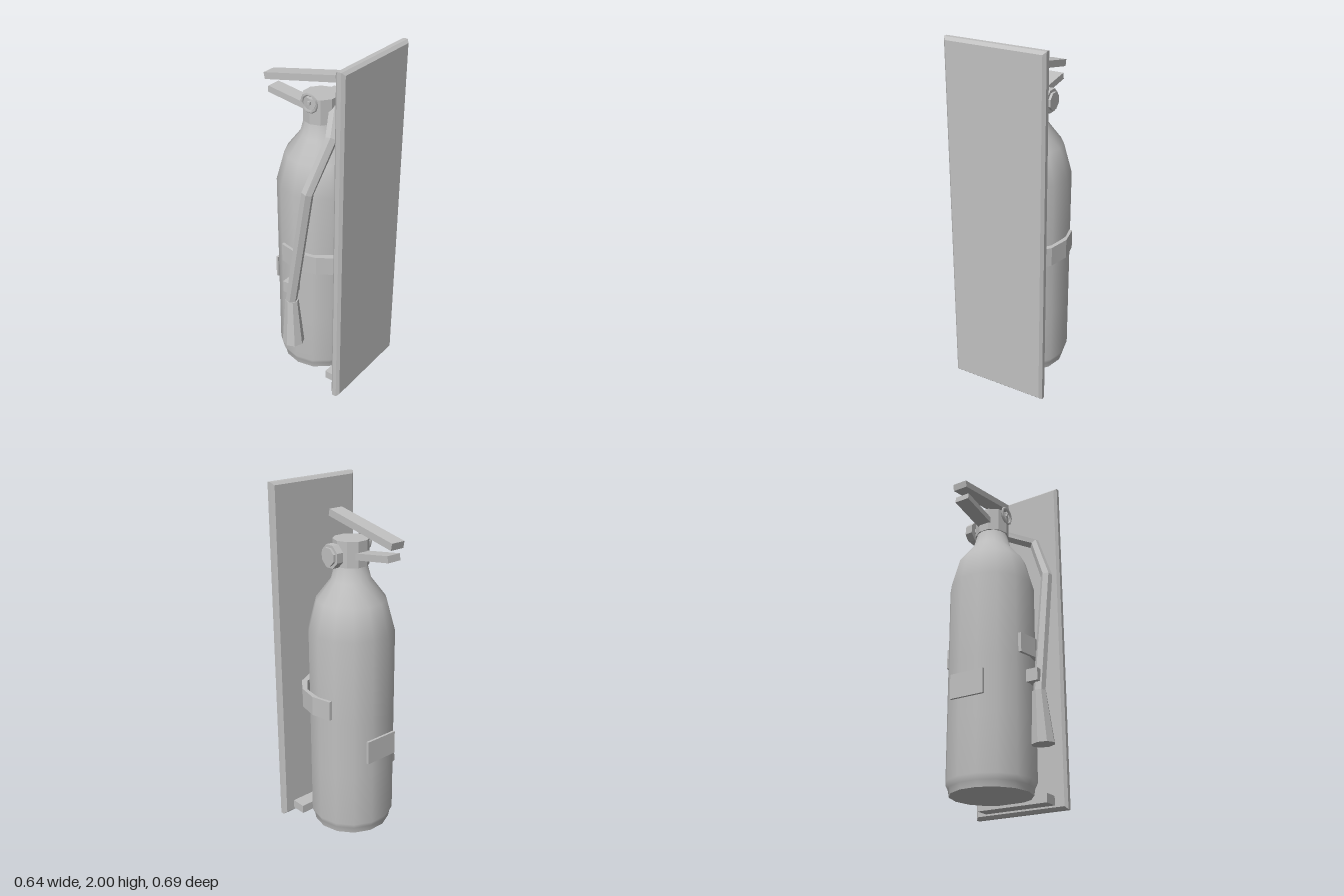
import * as THREE from 'three';

const AX = 0.036; // bottle axis in x

// Polyline path that keeps its corners, with mitred cross-sections
class Polyline extends THREE.Curve {
  constructor(points) { super(); this.points = points; }
  getPoint(t, target = new THREE.Vector3()) {
    const n = this.points.length - 1;
    const i = Math.min(Math.floor(t * n + 1e-6), n - 1);
    return target.lerpVectors(this.points[i], this.points[i + 1], t * n - i);
  }
  getPointAt(u, target) { return this.getPoint(u, target); }
  getTangentAt(u, target = new THREE.Vector3()) {
    const p = this.points, n = p.length - 1, i = Math.round(u * n);
    const dir = (a) => p[a + 1].clone().sub(p[a]).normalize();
    return target.copy(dir(Math.max(i - 1, 0))).add(dir(Math.min(i, n - 1))).normalize();
  }
}

export function createModel() {
  const root = new THREE.Group();
  root.name = 'wallMountedExtinguisher';
  const grey = new THREE.MeshStandardMaterial({ color: 0xc0c0c0 });
  grey.name = 'light grey';

  const add = (name, geometry, x = 0, y = 0, z = 0) => {
    const mesh = new THREE.Mesh(geometry, grey);
    mesh.name = name;
    mesh.position.set(x, y, z);
    root.add(mesh);
    return mesh;
  };
  const flat = (geometry) => {
    const g = geometry.index ? geometry.toNonIndexed() : geometry;
    g.computeVertexNormals();
    return g;
  };
  // Box given by its minimum and maximum corners
  const boxBetween = (name, a, b) => add(name,
    new THREE.BoxGeometry(b[0] - a[0], b[1] - a[1], b[2] - a[2]),
    (a[0] + b[0]) / 2, (a[1] + b[1]) / 2, (a[2] + b[2]) / 2);
  // Faceted cylinder lying along x
  const discX = (name, radius, x0, x1, y, z, sides = 8) => add(name,
    flat(new THREE.CylinderGeometry(radius, radius, x1 - x0, sides)
      .rotateY(Math.PI / sides).rotateZ(Math.PI / 2)), (x0 + x1) / 2, y, z);

  // Wall board with chamfered edges
  const bevel = 0.015, hw = 0.284 - bevel, hh = 1 - bevel;
  const rect = new THREE.Shape([[-hw, -hh], [hw, -hh], [hw, hh], [-hw, hh]]
    .map(([x, y]) => new THREE.Vector2(x, y)));
  add('wallBoard', new THREE.ExtrudeGeometry(rect, {
    depth: 0.055 - 2 * bevel, bevelSize: bevel, bevelThickness: bevel, bevelSegments: 1,
  }), 0.035, 1, 0.292 + bevel);

  // Bottle: fourteen-sided, smooth around and over the shoulder
  const profile = [[0.22, 0.04], [0.226, 0.075], [0.24, 0.105], [0.24, 0.42], [0.24, 0.73],
    [0.24, 1.22], [0.194, 1.39], [0.11, 1.5], [0.088, 1.585]].map(([r, y]) => new THREE.Vector2(r, y));
  add('bottle', new THREE.LatheGeometry(profile, 14, Math.PI / 2), AX, 0, 0.003);
  add('bottleBase', new THREE.CircleGeometry(0.22, 14).rotateX(Math.PI / 2), AX, 0.04, 0.003);

  // Label plate on the bottle
  boxBetween('labelPlate', [-0.065, 0.51, -0.247], [0.136, 0.645, -0.233]);

  // Valve head with gauge and pin ring
  add('valveHead', flat(new THREE.CylinderGeometry(0.098, 0.098, 0.14, 10).rotateY(Math.PI / 2)),
    AX, 1.65, 0.004);
  discX('gaugeStem', 0.03, 0.1, 0.145, 1.645, 0.006);
  discX('gaugeBody', 0.066, 0.143, 0.183, 1.645, 0.006);
  discX('gaugeFace', 0.05, 0.183, 0.196, 1.645, 0.006);
  add('pinRing', new THREE.TorusGeometry(0.048, 0.009, 4, 10).rotateY(Math.PI / 2), -0.063, 1.698, 0.004);
  boxBetween('safetyPin', [-0.07, 1.69, -0.004], [0.0, 1.706, 0.012]);

  // Squeeze handles
  const upper = add('upperHandle', new THREE.BoxGeometry(0.086, 0.038, 0.48), AX + 0.001, 1.792, -0.108);
  upper.rotation.x = -0.205;
  const lower = add('lowerHandle', new THREE.BoxGeometry(0.086, 0.036, 0.28), AX + 0.001, 1.656, -0.18);
  lower.rotation.x = 0.14;

  // Hose, clip and horn
  const hosePath = [[0.05, 1.65, 0.085], [-0.14, 1.58, 0.2], [-0.25, 1.3, 0.135], [-0.25, 0.54, 0.012]]
    .map((p) => new THREE.Vector3(...p));
  add('hose', flat(new THREE.TubeGeometry(new Polyline(hosePath), 3, 0.033, 6)));
  boxBetween('hoseClip', [-0.265, 0.61, -0.03], [-0.19, 0.68, 0.035]);
  const horn = add('hoseHorn', flat(new THREE.CylinderGeometry(0.038, 0.063, 0.285, 8)), -0.253, 0.42, 0.024);
  horn.rotation.set(-0.05, 0, -0.035);

  // Clamp arms: one outline seen from above, mirrored to both sides
  const arm = [[0.068, 0.292], [0.168, 0.24], [0.234, 0.15], [0.261, 0.032], [0.238, -0.085],
    [0.218, -0.085], [0.236, 0.03], [0.218, 0.125], [0.15, 0.213], [0.068, 0.255]];
  for (const side of [1, -1]) {
    const outline = new THREE.Shape(arm.map(([x, z]) => new THREE.Vector2(side * x, -z)));
    add(side > 0 ? 'leftClampArm' : 'rightClampArm',
      new THREE.ExtrudeGeometry(outline, { depth: 0.11, bevelEnabled: false }).rotateX(-Math.PI / 2),
      AX, 0.765, 0);
  }

  // Foot rest under the bottle
  boxBetween('footRest', [-0.178, 0.025, 0.205], [0.25, 0.075, 0.295]);

  return root;
}
